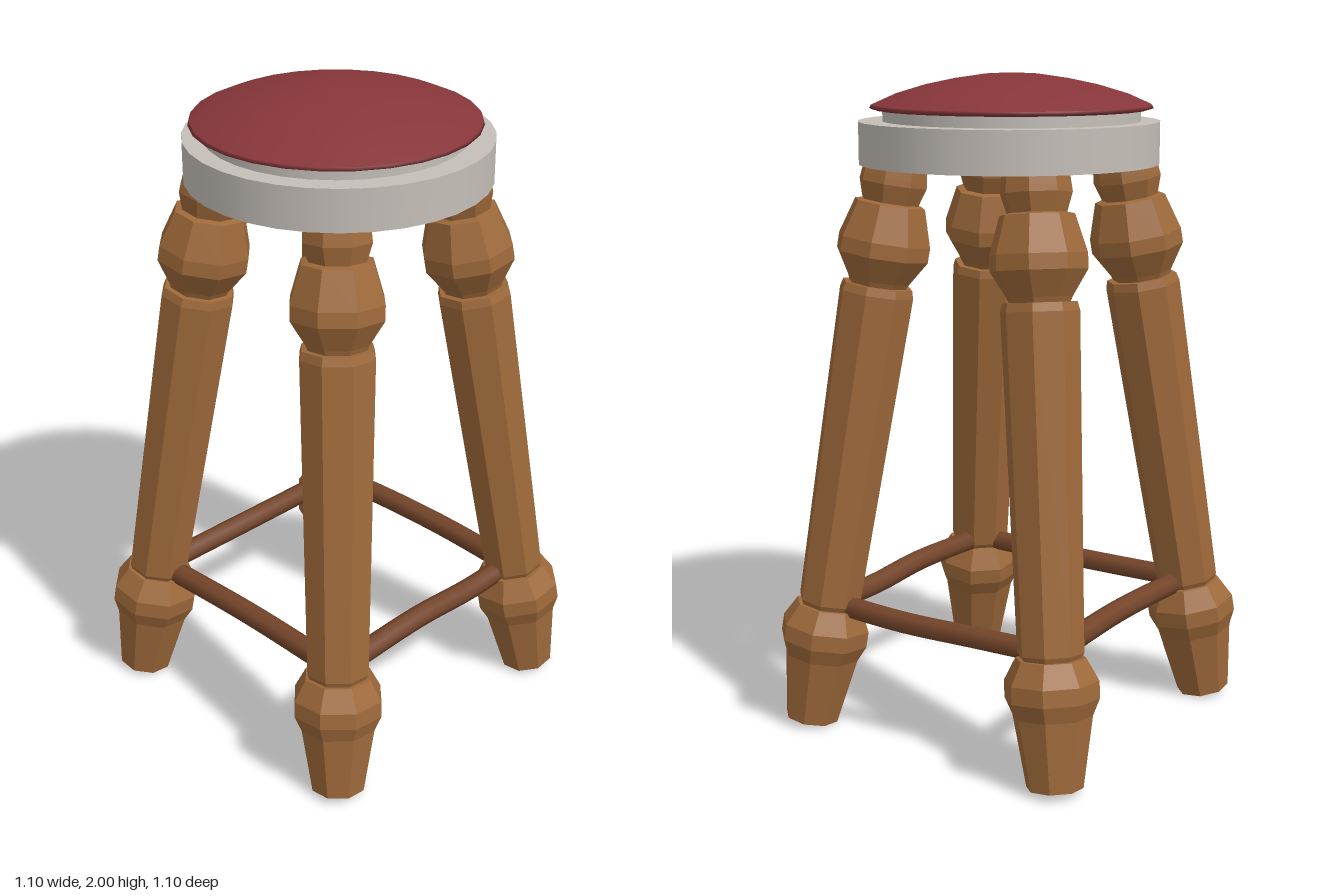
import * as THREE from 'three';

const wood = new THREE.MeshStandardMaterial({ color: 0x9e693a, flatShading: true });
wood.name = 'warm wood';
const darkWood = new THREE.MeshStandardMaterial({ color: 0x74452a });
darkWood.name = 'dark wood';
const grey = new THREE.MeshStandardMaterial({ color: 0xc4beb7 });
grey.name = 'light grey rim';
const red = new THREE.MeshStandardMaterial({ color: 0x87363a });
red.name = 'red leather';

const vec = (x, y, z) => new THREE.Vector3(x, y, z);

// Turned leg: [half width across flats, height]
const LEG = [
  [0, 0], [0.077, 0], [0.108, 0.21], [0.128, 0.26], [0.128, 0.31], [0.095, 0.375], [0.083, 0.375],
  [0.09, 0.39], [0.106, 1.36], [0.1, 1.385], [0.082, 1.385], [0.088, 1.4],
  [0.131, 1.475], [0.131, 1.52], [0.1, 1.63], [0.08, 1.635],
  [0.096, 1.69], [0.094, 1.71], [0.084, 1.79], [0, 1.79],
];

function legGeometry() {
  const k = 1 / Math.cos(Math.PI / 8);
  const pts = LEG.map(([r, y]) => new THREE.Vector2(r * k, y));
  return new THREE.LatheGeometry(pts, 8, Math.PI / 8);
}

// Rod between two legs with a slight hand-made bow
function stretcher(name, points) {
  const curve = new THREE.CatmullRomCurve3(points);
  const mesh = new THREE.Mesh(new THREE.TubeGeometry(curve, 16, 0.034, 8), darkWood);
  mesh.name = name;
  return mesh;
}

export function createModel() {
  const stool = new THREE.Group();
  stool.name = 'stool';

  // Four splayed legs
  const geo = legGeometry();
  for (const sx of [-1, 1]) {
    for (const sz of [-1, 1]) {
      const leg = new THREE.Mesh(geo, wood);
      leg.name = (sz > 0 ? 'front' : 'back') + (sx > 0 ? 'Left' : 'Right') + 'Leg';
      leg.position.set(sx * 0.453, 0.013, sz * 0.453);
      const axis = vec(-sx * 0.12, 1, -sz * 0.12).normalize();
      leg.quaternion.setFromUnitVectors(vec(0, 1, 0), axis);
      stool.add(leg);
    }
  }

  // Stretchers
  const e = 0.4;
  stool.add(
    stretcher('frontStretcher', [vec(-e, 0.39, e), vec(-0.05, 0.4, e), vec(0.2, 0.385, e), vec(e, 0.39, e)]),
    stretcher('backStretcher', [vec(-e, 0.39, -e), vec(0, 0.395, -0.39), vec(e, 0.385, -e)]),
    stretcher('leftStretcher', [vec(e, 0.385, e), vec(0.42, 0.385, 0.1), vec(0.415, 0.39, -0.15), vec(e, 0.39, -e)]),
    stretcher('rightStretcher', [vec(-e, 0.39, e), vec(-0.39, 0.39, 0), vec(-e, 0.39, -e)]),
  );

  // Seat base and the step above it
  const base = new THREE.Mesh(new THREE.CylinderGeometry(0.45, 0.45, 0.125, 32), grey);
  base.name = 'seatBase';
  base.position.set(0.006, 1.7975, 0.005);
  const step = new THREE.Mesh(new THREE.CylinderGeometry(0.385, 0.385, 0.04, 32), grey);
  step.name = 'seatStep';
  step.position.set(0, 1.878, 0);
  stool.add(base, step);

  // Domed cushion
  const dome = [[0.418, 1.907], [0.35, 1.937], [0.26, 1.964], [0.17, 1.983], [0.08, 1.996], [0, 2]];
  const top = new THREE.Mesh(
    new THREE.LatheGeometry(dome.map(([r, y]) => new THREE.Vector2(r, y)), 28), red);
  top.name = 'cushionTop';
  const under = [[0, 1.893], [0.405, 1.893], [0.422, 1.898], [0.418, 1.907]];
  const bottom = new THREE.Mesh(
    new THREE.LatheGeometry(under.map(([r, y]) => new THREE.Vector2(r, y)), 28), red);
  bottom.name = 'cushionEdge';
  stool.add(top, bottom);

  return stool;
}
